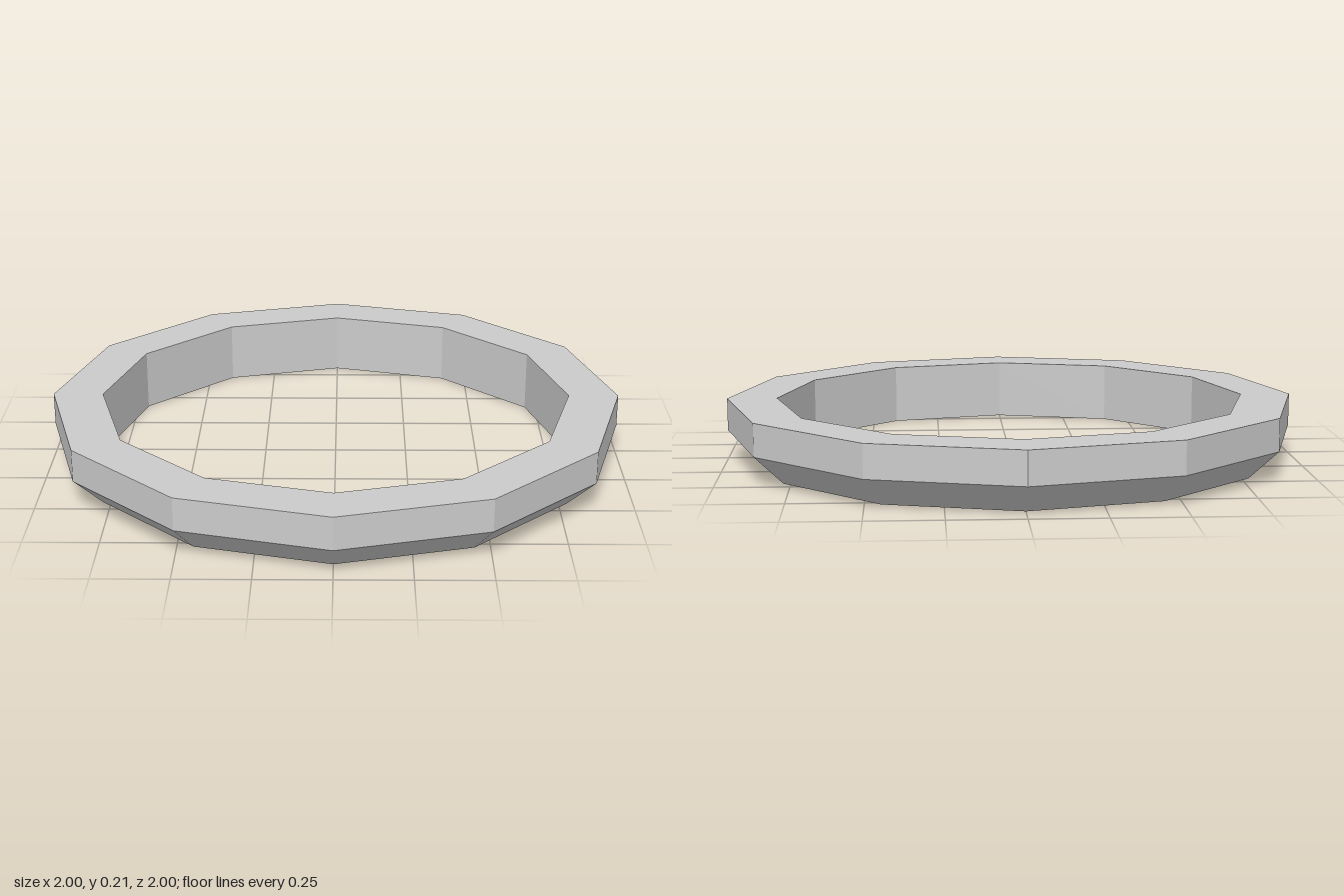
import * as THREE from 'three';

const SIDES = 12;
const INNER = 0.825, OUTER = 1, FOOT = 0.895;
const BEVEL = 0.1, HEIGHT = 0.213;

export function createModel() {
  const group = new THREE.Group();
  group.name = 'ring';

  // Closed cross-section: narrow foot, bevel, outer wall, flat top, inner wall
  const profile = [
    [INNER, 0], [FOOT, 0], [OUTER, BEVEL],
    [OUTER, HEIGHT], [INNER, HEIGHT], [INNER, 0],
  ].map(([r, y]) => new THREE.Vector2(r, y));

  // Twelve-sided faceted band
  const band = new THREE.Mesh(
    new THREE.LatheGeometry(profile, SIDES),
    new THREE.MeshStandardMaterial({ color: 0xcccccc, flatShading: true })
  );
  band.name = 'bevelledBand';
  group.add(band);
  return group;
}
